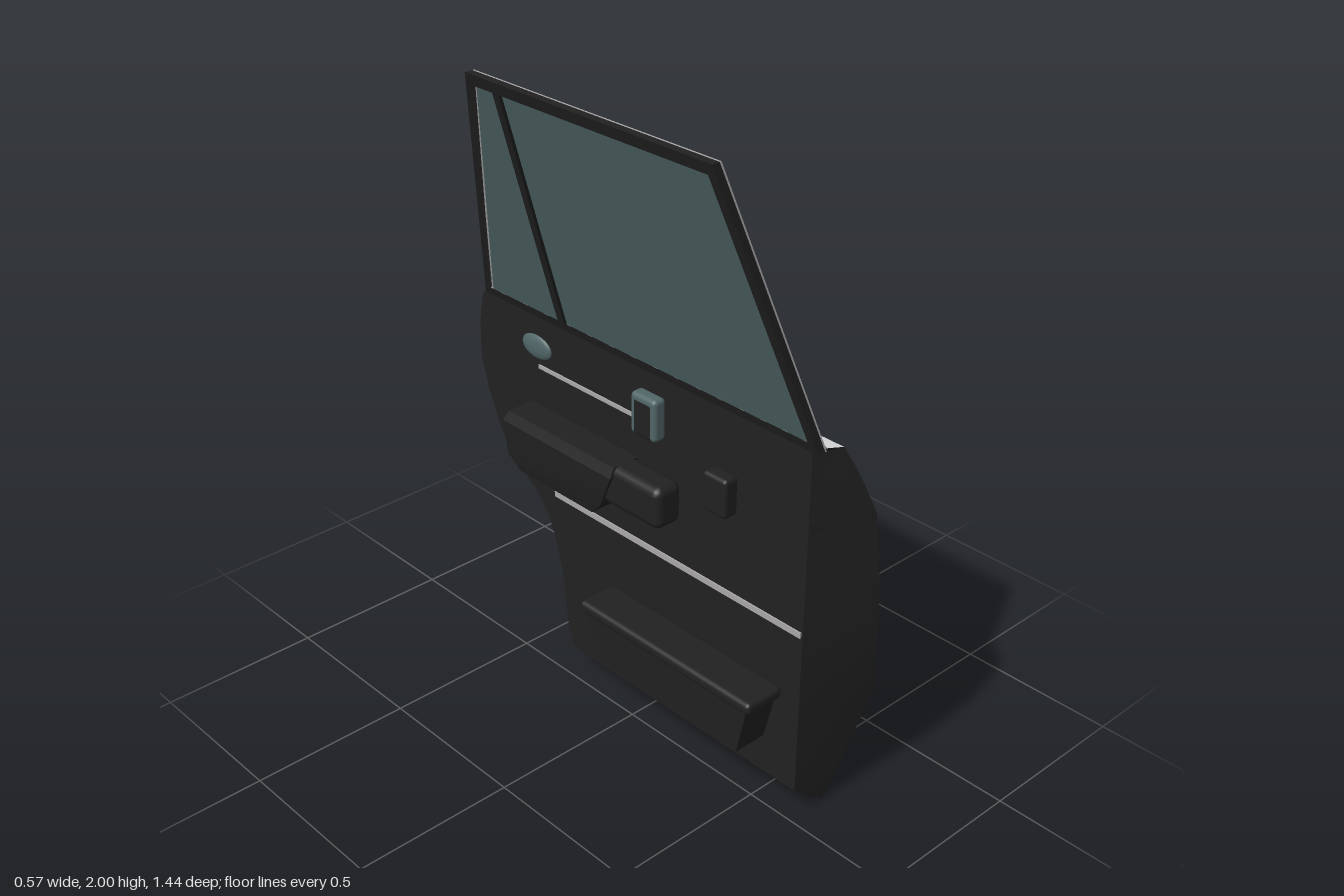
import * as THREE from 'three';
import { toCreasedNormals } from 'three/addons/utils/BufferGeometryUtils.js';
import { RoundedBoxGeometry } from 'three/addons/geometries/RoundedBoxGeometry.js';

const mat = (name, color, side = THREE.FrontSide) => {
  const m = new THREE.MeshStandardMaterial({ color, side });
  m.name = name;
  return m;
};

// Joins rings of points (counter-clockwise from above, listed upwards); sides picks the edges to fill.
function loft(rings, sides, caps = true) {
  const p = [];
  const quad = (a, b, c, d) => p.push(...a, ...b, ...c, ...a, ...c, ...d);
  for (let i = 0; i + 1 < rings.length; i++) {
    for (const j of sides) {
      const k = (j + 1) % 4;
      quad(rings[i][j], rings[i][k], rings[i + 1][k], rings[i + 1][j]);
    }
  }
  if (caps) {
    const [a, b, c, d] = rings[0];
    quad(d, c, b, a);
    quad(...rings[rings.length - 1]);
  }
  const g = new THREE.BufferGeometry();
  g.setAttribute('position', new THREE.Float32BufferAttribute(p, 3));
  return toCreasedNormals(g, 0.25);
}

// Rectangular ring at height y
const rect = (y, x0, x1, z0, z1) => [[x1, y, z1], [x1, y, z0], [x0, y, z0], [x0, y, z1]];

// Thin slab drawn as [z, y] outlines, laid into the leaning window plane
function windowSlab(outline, holes, offset, depth) {
  const pts = (o) => o.map(([z, y]) => new THREE.Vector2(-z, y));
  const shape = new THREE.Shape(pts(outline));
  for (const h of holes) shape.holes.push(new THREE.Path(pts(h)));
  const g = new THREE.ExtrudeGeometry(shape, { depth, bevelEnabled: false });
  g.rotateY(Math.PI / 2);
  const pos = g.attributes.position;
  for (let i = 0; i < pos.count; i++) {
    pos.setX(i, pos.getX(i) + offset + 0.015 - 0.372 * (pos.getY(i) - 1.18));
  }
  g.computeVertexNormals();
  return g;
}

export function createModel() {
  const door = new THREE.Group();
  door.name = 'carDoor';
  const paint = mat('body paint', 0xe2e2e2, THREE.DoubleSide);
  const black = mat('black trim', 0x212121);
  const grey = mat('grey trim', 0xa9a7a7);
  const glass = mat('tinted glass', 0x516668);
  const rim = mat('dark rim', 0x4c4c4c);
  const add = (name, geo, material, x = 0, y = 0, z = 0) => {
    const m = new THREE.Mesh(geo, material);
    m.name = name;
    m.position.set(x, y, z);
    door.add(m);
    return m;
  };

  // Door body rows: height, outer x, front z, rear z
  const rows = [
    [0, 0.135, 0.65, -0.31], [0.16, 0.207, 0.67, -0.333], [0.36, 0.28, 0.7, -0.36],
    [0.45, 0.255, 0.707, -0.385], [0.53, 0.248, 0.714, -0.42], [0.59, 0.243, 0.718, -0.475],
    [0.63, 0.24, 0.72, -0.54], [0.67, 0.236, 0.72, -0.59], [0.75, 0.229, 0.72, -0.64],
    [0.85, 0.22, 0.716, -0.685], [0.95, 0.21, 0.711, -0.715], [1.06, 0.16, 0.7, -0.716],
    [1.11, 0.137, 0.69, -0.709], [1.17, 0.108, 0.672, -0.695], [1.185, 0.05, 0.665, -0.655],
  ];
  const rings = rows.map(([y, x, zf, zr], i) => {
    const yi = Math.max(y, 0.09);
    const inset = i === rows.length - 1 ? 0 : 0.02;
    return [[x, y, zf], [x, y, zr], [0.02, yi, zr + inset], [0.02, yi, 0.645]];
  });
  add('outerSkin', loft(rings, [0], false), paint);
  add('innerShell', loft(rings, [1, 2, 3]), black);
  const last = rows.length - 1;
  add('beltLine', loft([rings[last], rings[last].map(([x, y, z]) => [x, y + 0.004, z])], [0, 1, 2, 3]), grey);

  // Window frame, glass and divider
  const outer = [[0.67, 1.18], [0.575, 2], [-0.31, 2], [-0.655, 1.18]];
  const opening = [[0.645, 1.2], [0.555, 1.974], [-0.29, 1.974], [-0.622, 1.2]];
  const seal = [[0.64, 1.21], [0.55, 1.965], [-0.285, 1.965], [-0.615, 1.21]];
  const divider = [[-0.292, 1.2], [-0.193, 1.974], [-0.217, 1.974], [-0.318, 1.2]];
  add('windowFrameInner', windowSlab(outer, [seal], 0, 0.024), black);
  add('windowFrameOuter', windowSlab(outer, [opening], 0.024, 0.006), grey);
  add('windowGlass', windowSlab(opening, [], 0.01, 0.006), glass);
  add('windowDividerOuter', windowSlab(divider, [], 0.018, 0.009), grey);
  add('windowDividerInner', windowSlab(divider, [], 0, 0.01), black);

  // Outside handle and side moulding
  const tilt = 0.09;
  add('handleRim', new RoundedBoxGeometry(0.024, 0.084, 0.252, 2, 0.011), rim, 0.216, 0.915, -0.462).rotation.z = tilt;
  add('handlePlate', new RoundedBoxGeometry(0.024, 0.068, 0.236, 2, 0.008), grey, 0.219, 0.915, -0.462).rotation.z = tilt;
  add('sideMoulding', loft([
    rect(0.527, 0.23, 0.254, -0.425, 0.69),
    rect(0.54, 0.23, 0.266, -0.425, 0.69),
    rect(0.556, 0.23, 0.266, -0.425, 0.69),
    rect(0.567, 0.23, 0.25, -0.425, 0.69),
  ], [0, 1, 2, 3]), grey);

  // Armrest with a narrower pull grip in front
  add('armrest', loft([
    rect(0.7, -0.065, 0.03, -0.42, -0.1),
    rect(0.75, -0.078, 0.03, -0.46, -0.05),
    rect(0.86, -0.085, 0.03, -0.47, 0),
    rect(0.89, -0.07, 0.03, -0.46, 0),
  ], [0, 1, 2, 3]), black);
  add('pullGrip', new RoundedBoxGeometry(0.095, 0.13, 0.24, 2, 0.025), black, -0.025, 0.825, 0.06);

  // Storage pocket with a lip
  add('doorPocket', loft([
    rect(0.19, -0.06, 0.03, -0.04, 0.5),
    rect(0.215, -0.09, 0.03, -0.06, 0.52),
    rect(0.38, -0.096, 0.03, -0.09, 0.56),
  ], [0, 1, 2, 3]), black);
  add('pocketLip', new RoundedBoxGeometry(0.135, 0.038, 0.69, 2, 0.014), black, -0.043, 0.393, 0.235);

  // Inside controls and trim strips
  add('lockCatch', new RoundedBoxGeometry(0.045, 0.13, 0.1, 2, 0.014), glass, -0.016, 1.07, 0.08);
  add('lockCatchCover', new RoundedBoxGeometry(0.03, 0.115, 0.08, 2, 0.01), black, -0.024, 1.065, 0.08);
  add('windowCrank', new RoundedBoxGeometry(0.05, 0.12, 0.09, 2, 0.012), black, -0.006, 0.94, 0.35);
  const knob = add('innerRelease', new THREE.SphereGeometry(0.05, 16, 10), glass, 0.02, 1.08, -0.43);
  knob.scale.set(0.25, 0.75, 1.3);
  add('upperTrimStrip', new THREE.BoxGeometry(0.008, 0.012, 0.4), grey, 0.019, 1.02, -0.22);
  add('lowerTrimStrip', new THREE.BoxGeometry(0.008, 0.018, 1), grey, 0.019, 0.615, 0.14);

  return door;
}
